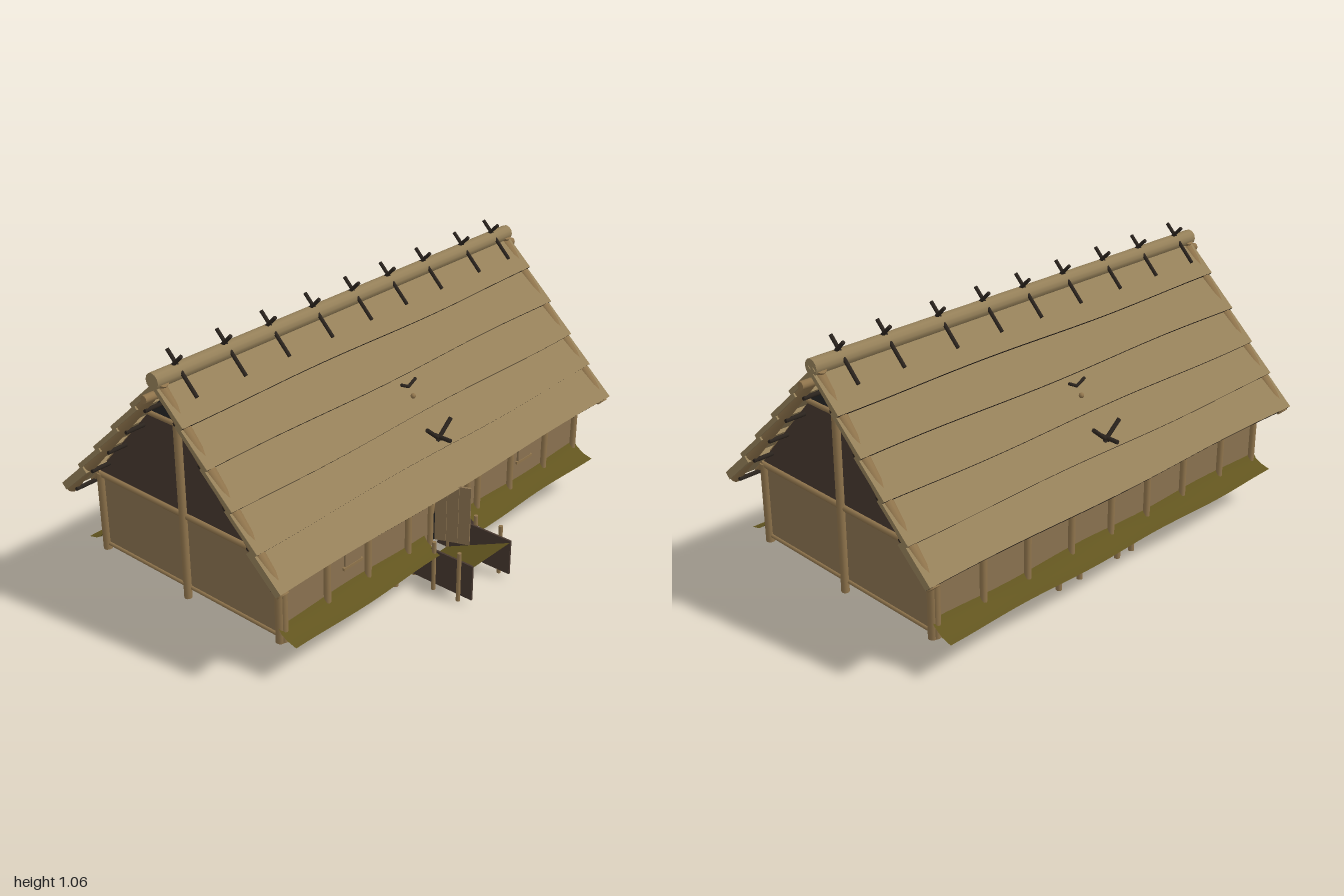
import * as THREE from 'three';

const mat = (name, color, side = THREE.FrontSide) => {
  const m = new THREE.MeshStandardMaterial({ color, side });
  m.name = name;
  return m;
};
const M = {
  thatch: mat('thatch', 0x958059),
  wall: mat('clay wall', 0x8a7250),
  wood: mat('pole wood', 0x8f744c),
  plank: mat('dark plank', 0x47382f),
  moss: mat('moss', 0x62551f, THREE.DoubleSide),
  floor: mat('black earth', 0x161616),
  smoke: mat('smoke opening', 0x262626),
  stick: mat('charred stick', 0x2a231d),
};

const V = (x, y, z) => new THREE.Vector3(x, y, z);

function add(parent, name, geo, material, x = 0, y = 0, z = 0) {
  const m = new THREE.Mesh(geo, material);
  m.name = name;
  m.position.set(x, y, z);
  parent.add(m);
  return m;
}
const box = (p, name, material, w, h, d, x, y, z) =>
  add(p, name, new THREE.BoxGeometry(w, h, d), material, x, y, z);

// Round pole between two points
function pole(p, name, material, a, b, r) {
  const d = b.clone().sub(a);
  const m = add(p, name, new THREE.CylinderGeometry(r, r, d.length(), 12), material);
  m.position.copy(a).add(b).multiplyScalar(0.5);
  m.quaternion.setFromUnitVectors(V(0, 1, 0), d.normalize());
  return m;
}

const TILT = Math.atan2(0.59, 0.55);
const POSTS = [-0.85, -0.64, -0.43, -0.21, 0.2, 0.41, 0.64, 0.85];

// One roof slope; local +z runs down from the ridge, +y points outward
function roofSlope() {
  const slope = new THREE.Group();
  slope.name = 'roofSlope';
  slope.position.y = 1.0;
  slope.rotation.x = TILT;
  const ends = [0, 0.19, 0.35, 0.506, 0.657, 0.807];
  for (let i = 0; i < 5; i++) {
    const s0 = Math.max(0, ends[i] - 0.02), s1 = ends[i + 1];
    const t = i === 4 ? 0.03 : 0.018;
    const geo = new THREE.BoxGeometry(1.915, t, s1 - s0, 24, 1, 1);
    const pos = geo.attributes.position;
    for (let k = 0; k < pos.count; k++) {
      const low = pos.getZ(k) > 0;
      const wave = Math.sin(pos.getX(k) * 5 + i * 2) * 0.004;
      if (low) pos.setZ(k, pos.getZ(k) + wave);
      else pos.setY(k, pos.getY(k) - 0.016);
    }
    geo.computeVertexNormals();
    // the lower lip of each course is dark
    const mats = [M.thatch, M.thatch, M.thatch, M.thatch, M.stick, M.thatch];
    add(slope, 'thatchCourse', geo, mats, 0, -t / 2, (s0 + s1) / 2);
    pole(slope, 'purlin', M.stick, V(-0.94, -0.05, s1 - 0.03), V(0.94, -0.05, s1 - 0.03), 0.008);
  }
  for (const x of [-0.93, 0.93])
    pole(slope, 'gableRafter', M.wood, V(x, -0.026, 0), V(x, -0.026, 0.812), 0.022);
  for (const x of POSTS)
    pole(slope, 'rafter', M.wood, V(x, -0.04, 0.03), V(x, -0.04, 0.79), 0.01);
  return slope;
}

// Long side shared by front and back: slope, posts and roof pegs
function longSide() {
  const side = new THREE.Group();
  side.name = 'longSide';
  side.add(roofSlope());
  for (const x of POSTS)
    pole(side, 'wallPost', M.wood, V(x, 0.135, 0.455), V(x, 0.47, 0.455), 0.014);
  pole(side, 'wallPlate', M.wood, V(-0.87, 0.45, 0.455), V(0.87, 0.45, 0.455), 0.013);
  // crossed pegs and plug on the thatch
  for (const s of [-1, 1]) {
    pole(side, 'lowerPeg', M.stick, V(-0.01 * s, 0.54, 0.42), V(0.068 * s, 0.606, 0.42), 0.008);
    pole(side, 'upperPeg', M.stick, V(0, 0.71, 0.275), V(0.04 * s, 0.73, 0.275), 0.006);
  }
  pole(side, 'crossPeg', M.stick, V(0, 0.555, 0.38), V(0, 0.555, 0.475), 0.008);
  add(side, 'roofPlug', new THREE.SphereGeometry(0.01, 12, 8), M.wood, 0, 0.68, 0.298);
  // posts holding the sunken lining boards
  for (const x of [-0.2, -0.09, 0.12, 0.2])
    pole(side, 'liningPost', M.wood, V(x, 0, 0.39), V(x, 0.155, 0.39), 0.012);
  return side;
}

// Curved moss bank along the wall foot
function mossBank(parent, x0, x1, dir) {
  const prof = [[0.445, 0.212], [0.465, 0.183], [0.495, 0.164], [0.537, 0.153]];
  const geo = new THREE.PlaneGeometry(x1 - x0, 1, 24, 3);
  const pos = geo.attributes.position;
  for (let k = 0; k < pos.count; k++) {
    const row = Math.floor(k / 25), x = pos.getX(k) + (x0 + x1) / 2;
    const [z, y] = prof[row];
    const wob = Math.sin(x * 9) * 0.005;
    pos.setXYZ(k, x, y + (row < 2 ? wob : 0), dir * (z + (row > 1 ? wob : 0)));
  }
  geo.computeVertexNormals();
  add(parent, 'mossBank', geo, M.moss);
}

function gable(side) {
  const g = new THREE.Group();
  g.name = 'gableEnd';
  const x = 0.86 * side;
  const panel = (name, pts, material) => {
    const geo = new THREE.ExtrudeGeometry(
      new THREE.Shape(pts.map(p => new THREE.Vector2(...p))), { depth: 0.012, bevelEnabled: false });
    geo.translate(0, 0, -0.006).rotateY(-Math.PI / 2);
    add(g, name, geo, material, x - 0.006 * side);
  };
  box(g, 'endWall', M.wall, 0.015, 0.3, 0.9, x - 0.007 * side, 0.3, 0);
  panel('gablePanel', [[-0.46, 0.45], [0.46, 0.45], [0.15, 0.79], [-0.15, 0.79]], M.plank);
  panel('smokeOpening', [[-0.15, 0.79], [0.15, 0.79], [0, 0.95]], M.smoke);
  pole(g, 'tieBeam', M.wood, V(x, 0.445, -0.465), V(x, 0.445, 0.465), 0.012);
  pole(g, 'collarBeam', M.wood, V(x, 0.79, -0.155), V(x, 0.79, 0.155), 0.01);
  pole(g, 'sillBeam', M.wood, V(x, 0.157, -0.45), V(x, 0.157, 0.45), 0.008);
  pole(g, 'centrePost', M.wood, V(x + 0.008 * side, 0.115, 0), V(x + 0.008 * side, 0.8, 0), 0.015);
  for (const z of [-0.445, 0.445])
    pole(g, 'cornerPost', M.wood, V(x, 0.132, z), V(x, 0.45, z), 0.017);
  return g;
}

// Shuttered hatch on the front wall
function hatch(parent, x) {
  box(parent, 'hatchShutter', M.wall, 0.08, 0.07, 0.008, x, 0.312, 0.455);
  for (const s of [-1, 1])
    box(parent, 'hatchRail', M.wood, 0.1, 0.01, 0.009, x, 0.312 + 0.038 * s, 0.457);
}

// Sunken entrance with ramp, open door and ladder
function entrance() {
  const g = new THREE.Group();
  g.name = 'entrance';
  for (const s of [-1, 1]) {
    box(g, 'pitWall', M.plank, 0.008, 0.143, 0.34, 0.115 * s, 0.093, 0.51);
    box(g, 'liningBoard', M.plank, 0.205, 0.135, 0.008, 0.2175 * s, 0.086, 0.38);
    for (const z of [0.51, 0.625])
      pole(g, 'pitPost', M.wood, V(0.125 * s, 0, z), V(0.125 * s, 0.203, z), 0.008);
  }
  const ramp = new THREE.PlaneGeometry(0.225, Math.hypot(0.29, 0.135)).rotateX(-Math.PI / 2);
  add(g, 'ramp', ramp, M.moss, 0, 0.09, 0.533).rotation.x = -Math.atan2(0.135, 0.29);
  // door leaf of three planks, standing open
  const door = new THREE.Group();
  door.name = 'door';
  door.position.set(-0.07, 0.293, 0.465);
  door.rotation.y = 0.38;
  for (let i = 0; i < 3; i++)
    box(door, 'doorPlank', M.wall, 0.01, 0.236, 0.043, 0, 0, 0.024 + i * 0.0445);
  for (const y of [-0.08, 0.08])
    box(door, 'doorBatten', M.plank, 0.009, 0.018, 0.13, 0.008, y, 0.068);
  g.add(door);
  for (const x of [-0.08, 0.14])
    pole(g, 'doorJamb', M.wood, V(x, 0.15, 0.452), V(x, 0.46, 0.452), 0.013);
  box(g, 'innerScreen', M.plank, 0.34, 0.29, 0.01, 0.03, 0.305, 0.28);
  for (const x of [0.015, 0.11])
    pole(g, 'ladderRail', M.wood, V(x, 0.16, 0.44), V(x, 0.4, 0.32), 0.007);
  for (let i = 0; i < 4; i++) {
    const y = 0.2 + i * 0.055, z = 0.44 - (y - 0.16) * 0.5;
    pole(g, 'ladderRung', M.wood, V(0.01, y, z), V(0.115, y, z), 0.007);
  }
  return g;
}

export function createModel() {
  const root = new THREE.Group();
  root.name = 'thatchedPitHouse';
  const house = new THREE.Group();
  house.name = 'house';
  house.position.z = -0.06;
  root.add(house);

  const front = longSide(), back = longSide();
  back.rotation.y = Math.PI;
  house.add(front, back, gable(1), gable(-1), entrance());

  // Long walls, with a doorway at the front
  box(house, 'backWall', M.wall, 1.72, 0.3, 0.015, 0, 0.3, -0.443);
  box(house, 'frontWall', M.wall, 0.78, 0.3, 0.015, -0.47, 0.3, 0.443);
  box(house, 'frontWall', M.wall, 0.72, 0.3, 0.015, 0.5, 0.3, 0.443);
  pole(back, 'wallPost', M.wood, V(0, 0.135, 0.455), V(0, 0.47, 0.455), 0.014);
  hatch(house, -0.51);
  hatch(house, 0.5);
  box(house, 'backLiningBoard', M.plank, 0.64, 0.135, 0.008, 0, 0.086, -0.38);

  mossBank(house, -0.875, -0.11, 1);
  mossBank(house, 0.13, 0.87, 1);
  mossBank(house, -0.875, 0.87, -1);

  // Earth floor with roof-post feet and hearth stones below
  box(house, 'floor', M.floor, 1.71, 0.008, 0.89, 0, 0.156, 0);
  for (const x of [-0.2, 0.2])
    for (const z of [-0.18, 0.18])
      pole(house, 'innerPost', M.wood, V(x, 0.128, z), V(x, 0.75, z), 0.024);
  pole(house, 'hearthFoot', M.wood, V(0, 0.13, 0), V(0, 0.16, 0), 0.024);
  for (let i = 0; i < 8; i++) {
    const a = i * Math.PI / 4;
    add(house, 'hearthStone', new THREE.SphereGeometry(0.014, 8, 6), M.smoke,
      Math.cos(a) * 0.08, 0.15, Math.sin(a) * 0.06);
  }

  // Ridge roll, ridge beam and crossed ridge sticks
  pole(house, 'ridgeRoll', M.thatch, V(-0.96, 0.985, 0), V(0.955, 0.985, 0), 0.03);
  pole(house, 'ridgeBeam', M.wood, V(-1, 0.935, 0), V(1, 0.935, 0), 0.015);
  for (const x of [-0.86, -0.64, -0.43, -0.21, 0, 0.2, 0.41, 0.65, 0.845])
    for (const s of [-1, 1])
      pole(house, 'ridgeStick', M.stick,
        V(x + 0.006 * s, 0.92, 0.093 * s), V(x + 0.006 * s, 1.053, -0.04 * s), 0.007);
  return root;
}
